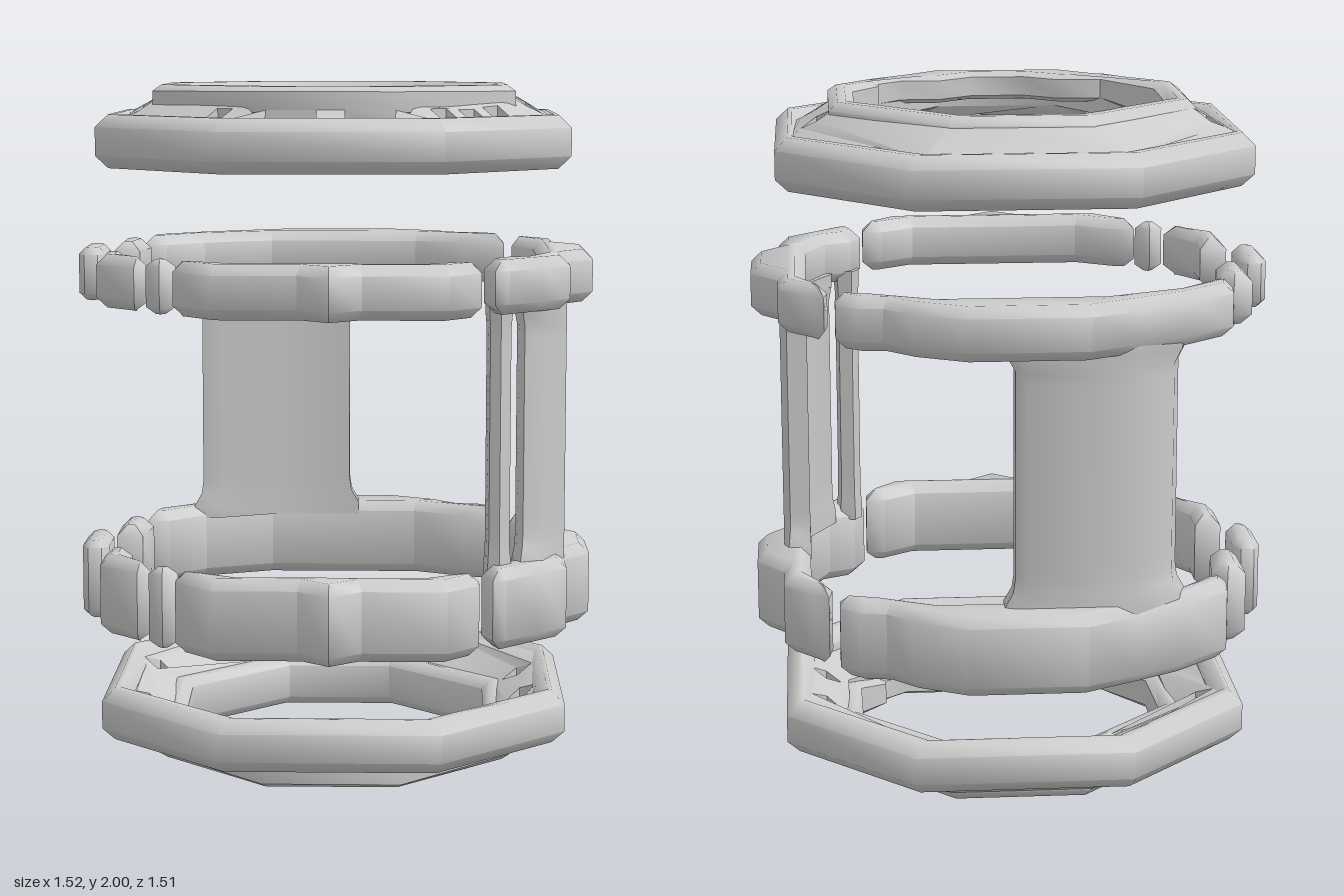
import * as THREE from 'three';
import { toCreasedNormals } from 'three/addons/utils/BufferGeometryUtils.js';

const material = new THREE.MeshStandardMaterial({ color: 0xcccccc });
const vec = (pts) => pts.map(([x, z]) => new THREE.Vector2(x, z));

// Counter-clockwise plan outline (x, z) with optional holes
function plan(pts, holes = []) {
  const outline = vec(pts);
  if (THREE.ShapeUtils.area(outline) < 0) outline.reverse();
  const shape = new THREE.Shape(outline);
  shape.holes = holes.map((h) => new THREE.Path(vec(h)));
  return shape;
}

// Solid standing on a plan outline between y0 and y1, with softened rims
function solid(shape, y0, y1, bevel = 0.03, steps = 1) {
  const g = new THREE.ExtrudeGeometry(shape, {
    depth: y1 - y0 - 2 * bevel,
    steps,
    bevelEnabled: bevel > 0,
    bevelSize: bevel,
    bevelThickness: bevel,
    bevelOffset: -bevel,
    bevelSegments: 1,
  });
  g.rotateX(Math.PI / 2);
  g.translate(0, y1 - bevel, 0);
  return g;
}

// Move every vertex by a rule
function reshape(geometry, rule) {
  const p = geometry.attributes.position;
  for (let i = 0; i < p.count; i++) {
    p.setXYZ(i, ...rule(p.getX(i), p.getY(i), p.getZ(i)));
  }
  return geometry;
}

function add(parent, name, geometry) {
  const mesh = new THREE.Mesh(toCreasedNormals(geometry, 0.85), material);
  mesh.name = name;
  parent.add(mesh);
}

// Octagon with flats at distance d and half-length h
const octagon = (d, h) => [
  [d, -h], [d, h], [h, d], [-h, d], [-d, h], [-d, -h], [-h, -d], [h, -d],
];
const diamond = (x, z, r = 0.045) => [[x + r, z], [x, z + r], [x - r, z], [x, z - r]];

// Inner opening, with a stepped front edge
const opening = [
  [0.45, -0.16], [0.45, 0.17], [0.37, 0.26], [0.37, 0.3], [0.3, 0.36], [0.18, 0.36],
  [0.08, 0.44], [-0.08, 0.44], [-0.18, 0.36], [-0.31, 0.36], [-0.45, 0.17], [-0.45, -0.16],
  [-0.16, -0.45], [0.16, -0.45],
];

// Openings through the web between the two rails
const webHoles = [
  ...[[-0.56, -0.21], [-0.56, 0.16], [-0.32, 0.47], [0.32, 0.47], [0.4, 0.4],
    [0.47, 0.32], [0.56, 0.09], [0.56, -0.16]].map(([x, z]) => diamond(x, z)),
  ...[-0.11, 0.11].map((x) => [
    [x - 0.07, 0.525], [x + 0.07, 0.525], [x + 0.07, 0.595], [x - 0.07, 0.595],
  ]),
];

// End ring: outer rail, raised inner rail and a sloping web, both thinner at the front
function endRing(name, y0, direction) {
  const ring = new THREE.Group();
  ring.name = name;
  const y1 = y0 + 0.153;
  const rise = 0.083 * direction;
  const mid = (y0 + y1) / 2;
  const end = mid + (direction * (y1 - y0)) / 2;
  const front = (z) => THREE.MathUtils.smoothstep(z, 0, 0.35);

  add(ring, 'outerRail',
    solid(plan(octagon(0.68, 0.315), [octagon(0.595, 0.26)]), y0, y1, 0.036));

  const inner = solid(plan(octagon(0.525, 0.2), [opening]), y0, y1, 0.025);
  add(ring, 'innerRail', reshape(inner, (x, y, z) => [
    x, end + rise + (y - end) * (1 - 0.45 * front(z)), z,
  ]));

  const web = solid(plan(octagon(0.64, 0.28), [octagon(0.49, 0.18), ...webHoles]),
    y0 + 0.01, y1 - 0.01, 0);
  add(ring, 'web', reshape(web, (x, y, z) => {
    const ax = Math.abs(x), az = Math.abs(z);
    const d = Math.max(ax, az, (ax + az) * 0.7);
    const slope = THREE.MathUtils.clamp((0.63 - d) / 0.14, 0, 1);
    return [x, mid + (y - mid) * (1 - 0.5 * front(z)) + rise * slope, z];
  }));
  return ring;
}

// Separate segments of the broken middle rings
const segments = {
  frontSegment: [
    [-0.44, 0.52], [-0.44, 0.56], [-0.33, 0.68], [-0.09, 0.68], [0, 0.755], [0.09, 0.68],
    [0.33, 0.68], [0.42, 0.58], [0.42, 0.53], [0.36, 0.53], [0.26, 0.6], [-0.26, 0.6],
    [-0.37, 0.53],
  ],
  rightSegment: [
    [0.55, -0.46], [0.6, -0.42], [0.68, -0.33], [0.68, -0.2], [0.76, -0.1], [0.76, 0.1],
    [0.68, 0.2], [0.68, 0.33], [0.6, 0.41], [0.5, 0.51], [0.46, 0.52], [0.43, 0.44],
    [0.46, 0.37], [0.54, 0.33], [0.6, 0.2], [0.6, -0.28], [0.54, -0.39],
  ],
  backSegment: [
    [0.52, -0.55], [0.46, -0.6], [0.39, -0.61], [0.32, -0.68], [0.17, -0.76], [-0.17, -0.76],
    [-0.32, -0.68], [-0.46, -0.6], [-0.6, -0.48], [-0.61, -0.39], [-0.54, -0.4],
    [-0.43, -0.51], [-0.22, -0.6], [0.24, -0.6], [0.4, -0.52], [0.52, -0.49],
  ],
  backLeftBlock: [
    [-0.68, -0.14], [-0.68, -0.32], [-0.62, -0.36], [-0.58, -0.3], [-0.6, -0.14],
  ],
  sideBlock: [
    [-0.7, -0.11], [-0.74, -0.11], [-0.76, -0.07], [-0.76, 0.07], [-0.74, 0.11],
    [-0.7, 0.11], [-0.68, 0.07], [-0.68, -0.07],
  ],
  frontLeftBlock: [
    [-0.6, 0.17], [-0.68, 0.17], [-0.68, 0.32], [-0.56, 0.44], [-0.52, 0.42], [-0.6, 0.29],
  ],
  smallBlock: diamond(-0.48, 0.485, 0.042),
};

function middleRing(name, y0, y1) {
  const ring = new THREE.Group();
  ring.name = name;
  for (const [part, outline] of Object.entries(segments)) {
    const small = part === 'smallBlock' || part === 'sideBlock';
    add(ring, part, solid(plan(outline), y0, y1, small ? 0.02 : 0.03));
  }
  return ring;
}

// Uprights joining the two middle rings
const uprights = {
  sideColumn: [
    [0.6, -0.03], [0.66, -0.03], [0.68, 0], [0.68, 0.19], [0.61, 0.34], [0.55, 0.37],
    [0.53, 0.31], [0.6, 0.18],
  ],
  backColumn: [
    [0.03, -0.6], [0.03, -0.66], [0, -0.68], [-0.3, -0.68], [-0.42, -0.59],
    [-0.44, -0.52], [-0.38, -0.52], [-0.2, -0.6],
  ],
  thinRod: [
    [0.44, 0.39], [0.46, 0.36], [0.5, 0.37], [0.51, 0.41], [0.48, 0.44], [0.45, 0.43],
  ],
};

// Upright whose ends widen slightly where they meet the rings
function upright(outline) {
  const [cx, cz] = [0, 1].map((k) => outline.reduce((s, p) => s + p[k], 0) / outline.length);
  return reshape(solid(plan(outline), 0.6, 1.4, 0, 20), (x, y, z) => {
    const end = Math.max(0.69 - y, y - 1.32, 0);
    const s = 1 + 0.12 * Math.min(1, end / 0.05);
    return [
      Math.min(0.68, cx + (x - cx) * s), y, Math.max(-0.68, cz + (z - cz) * s),
    ];
  });
}

export function createModel() {
  const model = new THREE.Group();
  model.name = 'ringFrame';
  model.add(
    endRing('topRing', 1.765, 1),
    middleRing('upperMiddleRing', 1.365, 1.52),
    middleRing('lowerMiddleRing', 0.405, 0.64),
    endRing('bottomRing', 0.083, -1),
  );
  for (const [name, outline] of Object.entries(uprights)) add(model, name, upright(outline));
  return model;
}
